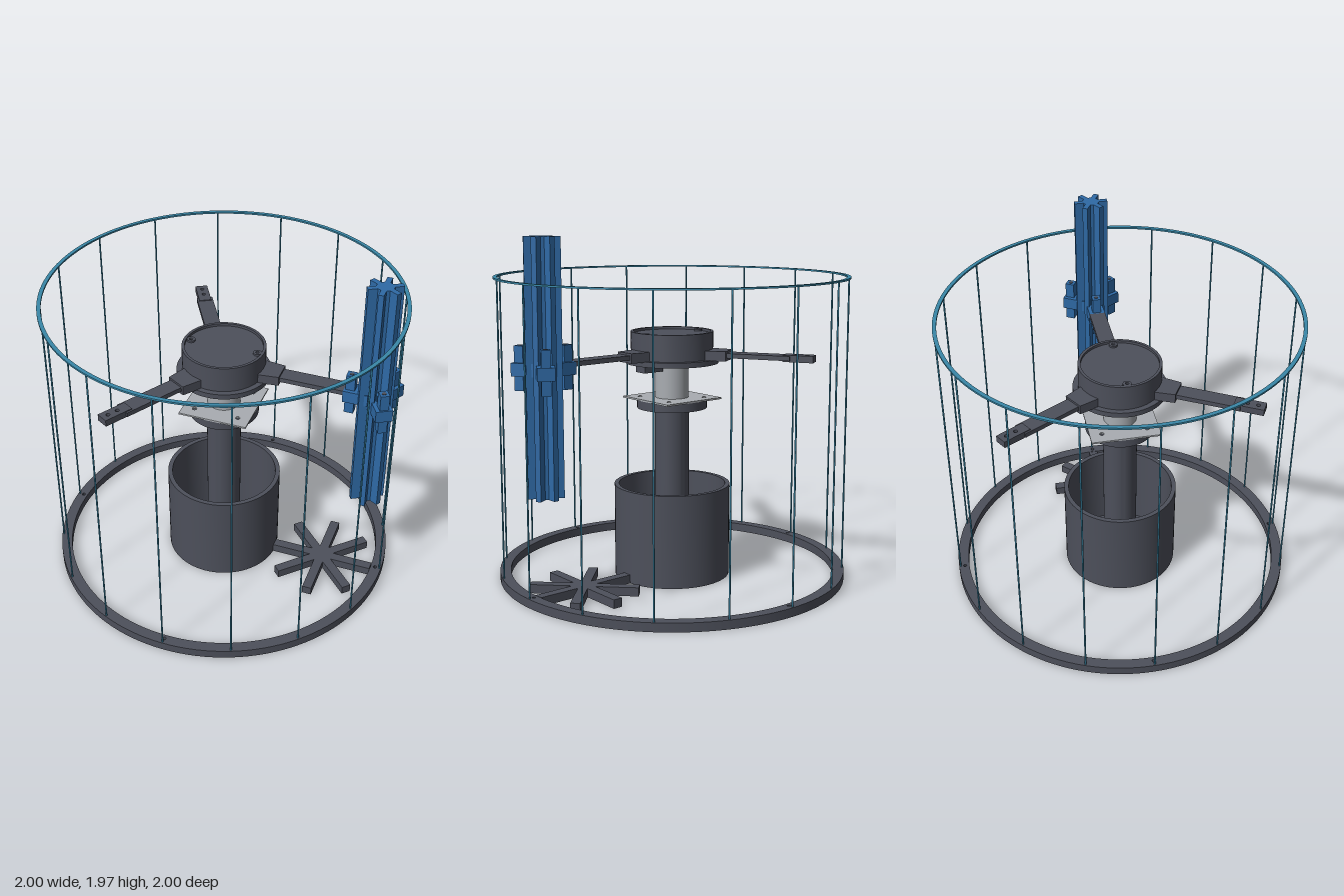
import * as THREE from 'three';
import { toCreasedNormals } from 'three/addons/utils/BufferGeometryUtils.js';

const paint = (name, color) => {
  const m = new THREE.MeshStandardMaterial({ color });
  m.name = name;
  return m;
};

export function createModel() {
  const dark = paint('dark grey plastic', 0x4d505b);
  const light = paint('light grey metal', 0xa9adb2);
  const blue = paint('blue plastic', 0x2f6aa6);
  const teal = paint('teal wire', 0x3a88a8);
  const model = new THREE.Group();

  const add = (parent, name, geo, mat, x = 0, y = 0, z = 0) => {
    const m = new THREE.Mesh(geo, mat);
    m.name = name;
    m.position.set(x, y, z);
    parent.add(m);
    return m;
  };
  const group = (parent, name, x = 0, y = 0, z = 0, turn = 0) => {
    const g = new THREE.Group();
    g.name = name;
    g.position.set(x, y, z);
    g.rotation.y = turn;
    parent.add(g);
    return g;
  };
  const circle = (r, x = 0, y = 0) => new THREE.Shape().absarc(x, y, r, 0, Math.PI * 2, false);
  const poly = (pts) => new THREE.Shape(pts.map(([x, y]) => new THREE.Vector2(x, y)));
  // upright slab: outline on the ground plane, raised by h
  const slab = (shape, h, holes = [], curveSegments = 32) => {
    shape.holes.push(...holes);
    const g = new THREE.ExtrudeGeometry(shape, { depth: h, bevelEnabled: false, curveSegments });
    g.rotateX(-Math.PI / 2);
    return toCreasedNormals(g, 0.5);
  };
  const polar = (r, a) => [r * Math.cos(a), r * Math.sin(a)];
  const ringOf = (n, r, size, start = 0) => Array.from({ length: n }, (_, i) =>
    circle(size, ...polar(r, start + (i * Math.PI * 2) / n)));
  const box = (w, h, d) => new THREE.BoxGeometry(w, h, d);

  // outer cage: base ring, rods and top hoop
  const cage = group(model, 'cage');
  add(cage, 'baseRing', slab(circle(1), 0.05, [circle(0.938), ...ringOf(4, 0.964, 0.01)], 64), dark);
  add(cage, 'topHoop', slab(circle(1), 0.01, [circle(0.978)], 64), teal, 0, 1.725);
  const rod = new THREE.CylinderGeometry(0.005, 0.005, 1.68, 8);
  for (let i = 0; i < 16; i++) {
    const [x, z] = polar(0.99, (i * Math.PI) / 8);
    add(cage, 'rod', rod, teal, x, 0.89, z);
  }

  // open bucket with a drilled floor
  const bucket = group(model, 'bucket');
  add(bucket, 'bucketFloor', slab(circle(0.32), 0.03,
    [circle(0.065), ...ringOf(4, 0.24, 0.024), ...ringOf(4, 0.15, 0.008)]), dark);
  add(bucket, 'bucketWall', slab(circle(0.333), 0.535, [circle(0.307)]), dark);

  // central column, flange, mounting plate and motor
  add(model, 'column', slab(circle(0.098), 0.96, [circle(0.065)]), dark, 0, 0.025);
  add(model, 'flange', slab(circle(0.2), 0.05), dark, 0, 0.98);
  add(model, 'mountingPlate', slab(poly([[-0.2, -0.2], [0.2, -0.2], [0.2, 0.2], [-0.2, 0.2]]), 0.01,
    ringOf(4, 0.184, 0.013, Math.PI / 4)), light, 0, 1.03);
  add(model, 'motor', new THREE.CylinderGeometry(0.095, 0.095, 0.22, 48), light, 0, 1.15);

  // rotor hub: slotted lower disc and drum with a shallow recessed lid
  const hub = group(model, 'hub');
  const slots = Array.from({ length: 12 }, (_, i) => {
    const a = (i * Math.PI) / 6;
    const s = new THREE.Path();
    s.absarc(0, 0, 0.2, a - 0.09, a + 0.09, false);
    s.absarc(0, 0, 0.12, a + 0.09, a - 0.09, true);
    s.closePath();
    return s;
  });
  add(hub, 'hubDisc', slab(circle(0.266), 0.03, slots), dark, 0, 1.24);
  const drum = [[0.205, 1.268], [0.235, 1.268], [0.235, 1.42], [0.219, 1.42], [0.219, 1.405], [0, 1.405]];
  const lid = [[0, 1.385], [0.205, 1.385], [0.205, 1.268]];
  add(hub, 'hubDrum', toCreasedNormals(new THREE.LatheGeometry(
    [...drum, ...lid].map(([x, y]) => new THREE.Vector2(x, y)), 64), 0.5), dark);
  for (const s of [-1, 1]) {
    add(hub, 'lidBoss', slab(circle(0.024), 0.012, [circle(0.01)], 12), dark, s * 0.195, 1.404);
  }
  add(hub, 'hubBlock', box(0.13, 0.045, 0.08), dark, 0.165, 1.222);

  // three arms, the first one carrying the blade
  for (let i = 0; i < 3; i++) {
    const arm = group(model, 'arm', 0, 0, 0, (i * Math.PI * 2) / 3);
    add(arm, 'armRoot', slab(poly([[0.225, -0.075], [0.34, -0.085], [0.34, 0.085], [0.225, 0.075]].map(
      ([x, z], k) => [x, k === 1 || k === 2 ? z * 0.72 : z])), 0.055), dark, 0, 1.267);
    add(arm, 'armBar', box(0.4, 0.026, 0.094), dark, 0.5, 1.297);
    if (i > 0) {
      add(arm, 'armTip', slab(poly([[0.66, -0.036], [0.83, -0.036], [0.83, 0.036], [0.66, 0.036]]), 0.038,
        [circle(0.011, 0.73), circle(0.011, 0.79)], 10), dark, 0, 1.277);
    }
  }

  // vertical blade: extruded six-lobed profile
  const blade = group(model, 'blade', 0.87, 0, 0);
  const profile = [];
  for (let i = 0; i < 6; i++) {
    const a = Math.PI / 6 + (i * Math.PI) / 3;
    for (const [r, w] of [[0.045, -0.015], [0.096, -0.015], [0.096, 0.015], [0.045, 0.015]]) {
      profile.push([r * Math.cos(a) - w * Math.sin(a), r * Math.sin(a) + w * Math.cos(a)]);
    }
  }
  add(blade, 'bladePost', slab(poly(profile), 1.385), blue, 0, 0.585);

  // clamp: three lugs set in the valleys of the blade, each with a tall tab
  for (let i = 0; i < 3; i++) {
    const lug = group(blade, 'clampLug', 0, 0, 0, Math.PI + (i * Math.PI * 2) / 3);
    add(lug, 'lugBody', box(0.14, 0.07, 0.094), blue, 0.102, 1.275);
    add(lug, 'lugTab', box(0.052, 0.24, 0.05), blue, 0.137, 1.28);
    add(lug, 'innerTab', box(0.03, 0.14, 0.035), blue, 0.065, 1.275);
    add(lug, 'tabPin', new THREE.CylinderGeometry(0.012, 0.012, 0.006, 12), dark, 0.137, 1.4);
  }

  // loose eight-armed star on the ground
  const star = group(model, 'groundStar', 0.63, 0.025, 0);
  for (let i = 0; i < 4; i++) {
    add(star, 'starBar', box(0.61, 0.05, 0.054), dark).rotation.y = (i * Math.PI) / 4;
  }
  return model;
}
